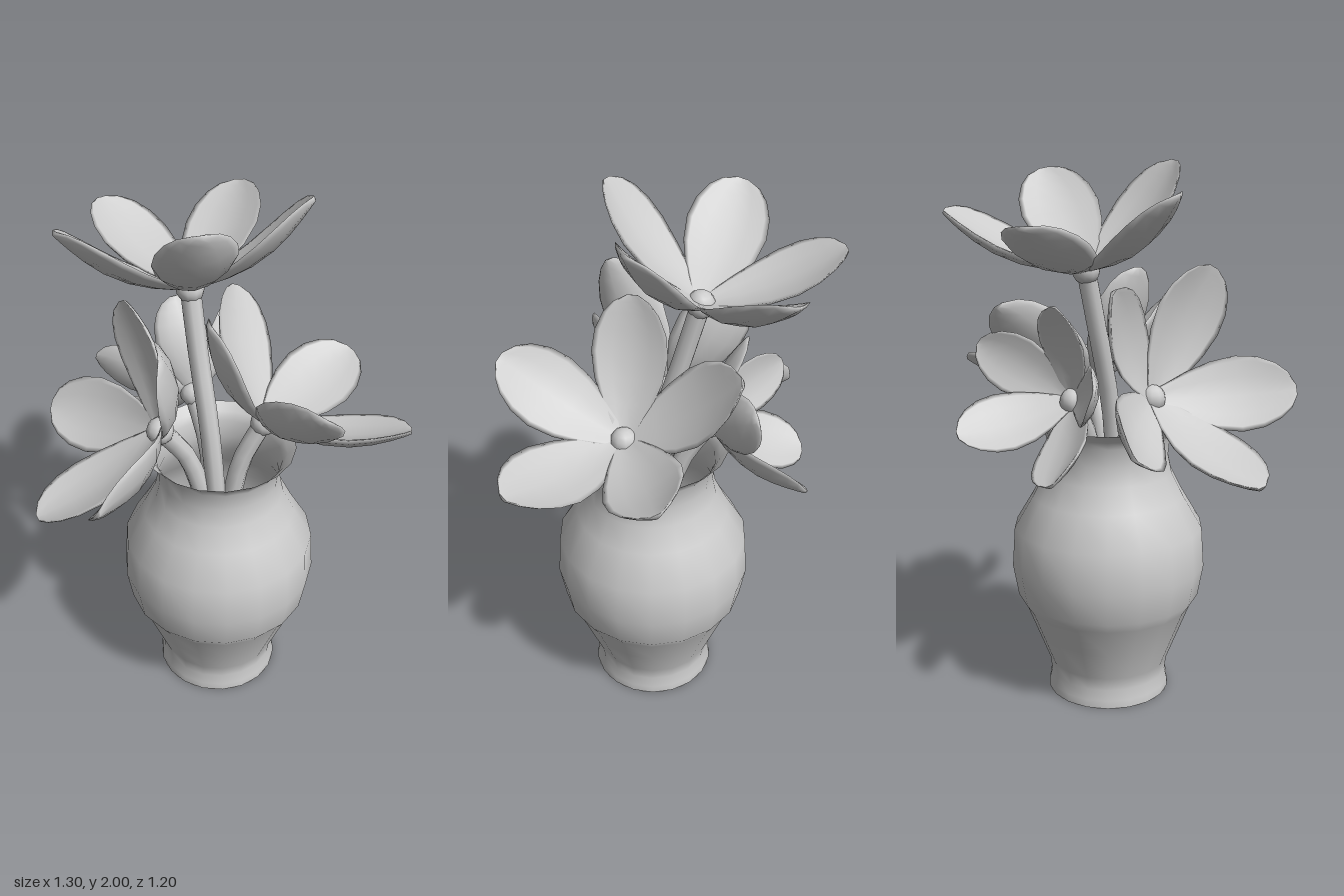
import * as THREE from 'three';

const V = (a) => new THREE.Vector3(...a);

// Cupped, spoon-shaped petal of unit length along +z, opening towards +y
function petalGeometry() {
  const rows = [[0, 0.05], [0.1, 0.1], [0.25, 0.18], [0.42, 0.245], [0.6, 0.275],
    [0.75, 0.255], [0.87, 0.2], [0.95, 0.13], [1, 0.04]];
  const sides = 12, pos = [], index = [];
  for (const [u, w] of rows) {
    const bow = -0.09 * Math.sin(Math.PI * u);
    const thick = 0.012 + 0.022 * Math.sin(Math.PI * Math.min(1, u * 0.95));
    for (let j = 0; j < sides; j++) {
      const t = (j / sides) * Math.PI * 2, c = Math.cos(t);
      pos.push(c * w, bow + 0.09 * c * c * (w / 0.275) + Math.sin(t) * thick, u);
    }
  }
  for (let i = 0; i < rows.length - 1; i++) {
    for (let j = 0; j < sides; j++) {
      const a = i * sides + j, b = i * sides + (j + 1) % sides;
      index.push(a, b, a + sides, b, b + sides, a + sides);
    }
  }
  // End caps
  const last = (rows.length - 1) * sides;
  for (let j = 1; j < sides - 1; j++) {
    index.push(0, j + 1, j, last, last + j, last + j + 1);
  }
  const g = new THREE.BufferGeometry();
  g.setAttribute('position', new THREE.Float32BufferAttribute(pos, 3));
  g.setIndex(index);
  g.computeVertexNormals();
  return g;
}

// Each flower: heart, five petal tips and the stem's path up to the heart
const FLOWERS = [
  { name: 'topFlower', heart: [0.04, 1.63, -0.12],
    tips: [[0.06, 1.8, -0.6], [0.48, 1.83, -0.31], [-0.35, 1.89, -0.34], [-0.19, 1.99, 0.16], [0.32, 1.96, 0.17]],
    stem: [[0.01, 0.1, 0.05], [0, 0.7, 0.06], [0, 1.1, 0.02], [0.02, 1.4, -0.06]] },
  { name: 'frontFlower', heart: [0.13, 1.17, 0.16],
    tips: [[0.64, 1.24, 0.13], [0.42, 1.2, 0.59], [-0.03, 1.45, 0.56], [-0.08, 1.62, 0.09], [0.34, 1.5, -0.2]],
    stem: [[0.04, 0.1, 0.08], [0.04, 0.7, 0.08], [0.07, 1.0, 0.11]] },
  { name: 'leftFlower', heart: [-0.18, 1.18, -0.05],
    tips: [[-0.62, 0.94, -0.21], [-0.65, 1.2, 0.17], [-0.34, 1.63, 0.14], [-0.12, 1.58, -0.29], [-0.28, 1.1, -0.54]],
    stem: [[0, 0.1, 0.03], [-0.02, 0.75, 0.02], [-0.08, 1.03, -0.02]] },
  { name: 'backFlower', heart: [0.08, 1.17, -0.15],
    tips: [[0.4, 1.08, -0.42], [0.01, 0.97, -0.52], [0.4, 1.38, -0.24], [0.1, 1.52, -0.27], [-0.12, 1.28, -0.46]],
    stem: [[0.04, 0.1, 0.02], [0.04, 0.75, 0], [0.06, 1.02, -0.06]] },
];

function buildFlower({ name, heart, tips, stem }, geometry, material) {
  const group = new THREE.Group();
  group.name = name;
  const centre = V(heart);
  const dirs = tips.map((t) => V(t).sub(centre));
  const axis = new THREE.Vector3();
  dirs.forEach((d) => axis.add(d.clone().normalize()));
  axis.normalize();

  // Petals, each opening towards the flower's axis
  for (const d of dirs) {
    const length = d.length(), z = d.clone().normalize();
    const x = axis.clone().cross(z).normalize();
    const y = z.clone().cross(x);
    const petal = new THREE.Mesh(geometry, material);
    petal.name = 'petal';
    petal.quaternion.setFromRotationMatrix(new THREE.Matrix4().makeBasis(x, y, z));
    petal.position.copy(centre);
    petal.scale.setScalar(length);
    group.add(petal);
  }

  // Stem and the swelling under the petals
  const path = new THREE.CatmullRomCurve3([...stem.map(V), centre]);
  const stalk = new THREE.Mesh(new THREE.TubeGeometry(path, 14, 0.036, 8), material);
  stalk.name = 'stem';
  const bud = new THREE.Mesh(new THREE.SphereGeometry(0.05, 10, 8), material);
  bud.name = 'flowerHeart';
  bud.position.copy(centre);
  group.add(stalk, bud);
  return group;
}

export function createModel() {
  const model = new THREE.Group();
  model.name = 'vaseOfFlowers';
  const clay = new THREE.MeshStandardMaterial({ color: 0xcccccc, side: THREE.DoubleSide });
  clay.name = 'paleGrey';

  // Open, thin-walled vase
  const profile = [[0.233, 0], [0.232, 0.03], [0.222, 0.07], [0.228, 0.12], [0.275, 0.24], [0.318, 0.35],
    [0.345, 0.39], [0.366, 0.51], [0.356, 0.66], [0.285, 0.78], [0.24, 0.87], [0.225, 0.94],
    [0.232, 1.01], [0.25, 1.04], [0.28, 1.07]];
  const vase = new THREE.Mesh(
    new THREE.LatheGeometry(profile.map(([r, y]) => new THREE.Vector2(r, y)), 18), clay);
  vase.name = 'vase';
  vase.position.set(0.021, 0, 0.045);

  // Underside of the vase
  const base = new THREE.Mesh(new THREE.CircleGeometry(0.233, 18), clay);
  base.name = 'vaseBase';
  base.rotation.x = Math.PI / 2;
  vase.add(base);
  model.add(vase);

  const petal = petalGeometry();
  for (const f of FLOWERS) model.add(buildFlower(f, petal, clay));
  return model;
}
